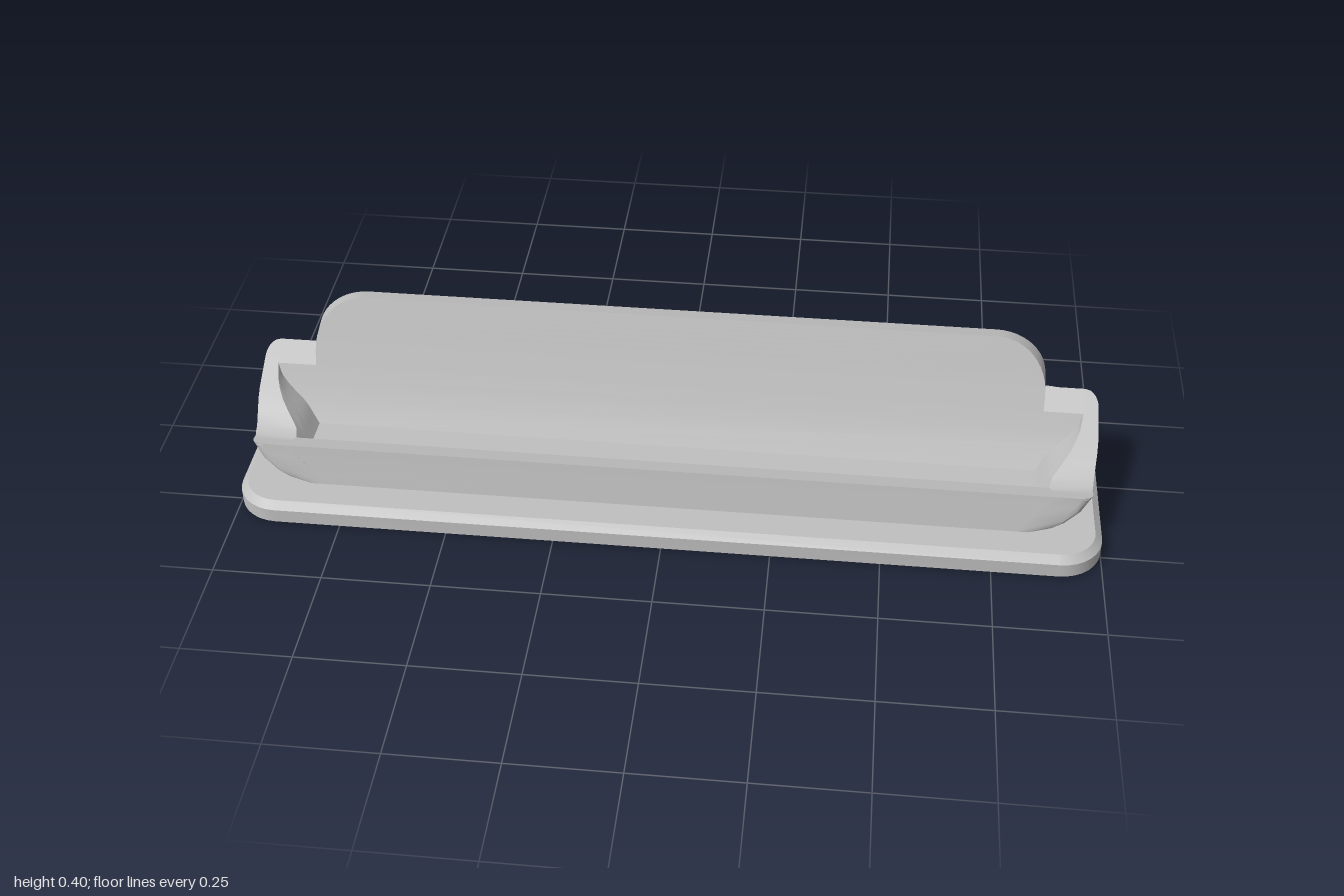
import * as THREE from 'three';
import { toCreasedNormals } from 'three/addons/utils/BufferGeometryUtils.js';

// Linear lookup in a list of [input, output] pairs, clamped at both ends
function lookup(table, v) {
  if (v <= table[0][0]) return table[0][1];
  for (let i = 1; i < table.length; i++) {
    const [a, p] = table[i - 1], [b, q] = table[i];
    if (v <= b) return p + (q - p) * (v - a) / (b - a);
  }
  return table[table.length - 1][1];
}

// Skin a list of closed rings of [x, y, z]; faces are turned outwards
function loft(rings, capped = true) {
  const n = rings[0].length, p = rings.flat(), tris = [];
  for (let r = 0; r < rings.length - 1; r++) {
    for (let i = 0; i < n; i++) {
      const a = r * n + i, b = r * n + (i + 1) % n;
      tris.push([a, b, b + n], [a, b + n, a + n]);
    }
  }
  if (capped) {
    const last = (rings.length - 1) * n;
    for (let i = 1; i < n - 1; i++) {
      tris.push([0, i + 1, i], [last, last + i, last + i + 1]);
    }
  }
  let volume = 0;
  const v = p.map((q) => new THREE.Vector3(...q));
  for (const [a, b, c] of tris) volume += v[a].dot(v[b].clone().cross(v[c]));
  if (volume < 0) tris.forEach((t) => t.reverse());
  const geo = new THREE.BufferGeometry();
  geo.setAttribute('position', new THREE.Float32BufferAttribute(tris.flat().flatMap((i) => p[i]), 3));
  return toCreasedNormals(geo, 0.5);
}

// Profiles of the cradle: [y, z] of back and front of the rest, [z, y] of the rim
const BACK = [[0.057, 0.06], [0.097, 0.052], [0.13, 0.033], [0.155, 0.02], [0.2, -0.001],
  [0.267, -0.03], [0.33, -0.054], [0.388, -0.075]];
const FRONT = [[0.11, 0.087], [0.16, 0.058], [0.2, 0.04], [0.236, 0.025], [0.3, 0],
  [0.35, -0.018], [0.397, -0.035]];
const RIM = [[-0.03, 0.267], [0.025, 0.236], [0.105, 0.19], [0.16, 0.152], [0.19, 0.144],
  [0.228, 0.152], [0.245, 0.057]];
const BOTTOM = BACK.slice(0, 6).map(([y, z]) => [z, y]).reverse();
// Half widths by height, outside and inside
const OUTER = [[0.057, 0.86], [0.068, 0.895], [0.08, 0.917], [0.11, 0.949], [0.15, 0.971],
  [0.2, 0.98], [0.27, 0.98]];
const INNER = [[0.057, 0.8], [0.11, 0.845], [0.15, 0.875], [0.185, 0.915], [0.21, 0.937],
  [0.24, 0.947], [0.27, 0.947]];

// Outer half width with rounded front and back edges
function outerWidth(y, z) {
  const r = 0.03;
  const toFront = 0.245 - (y - 0.057) * 0.18 - z;
  const d = THREE.MathUtils.clamp(Math.min(toFront, z - lookup(BACK, y)), 0, r);
  return lookup(OUTER, y) - r + Math.sqrt(r * r - (r - d) ** 2);
}

function baseGeometry() {
  const levels = [[0, 0.008], [0.006, 0], [0.04, 0], [0.057, 0.017]];
  return loft(levels.map(([y, inset]) => {
    const ring = [];
    for (let c = 0; c < 4; c++) {
      const sx = c === 0 || c === 3 ? 1 : -1, sz = c < 2 ? 1 : -1;
      for (let i = 0; i <= 8; i++) {
        const a = (c + i / 8) * Math.PI / 2;
        ring.push([sx * 0.9 + Math.cos(a) * (0.1 - inset), y, sz * 0.23 + Math.sin(a) * (0.1 - inset)]);
      }
    }
    return ring;
  }));
}

// Front lip, floor and lower rest in one trough, ends hidden in the end walls
function troughGeometry() {
  const profile = [[0.245, 0.057], [0.241, 0.08], [0.235, 0.11], [0.228, 0.152], [0.187, 0.144], [0.187, 0.11],
    ...FRONT.slice(0, 4).map(([y, z]) => [z, y]),
    ...BACK.slice(0, 6).map(([y, z]) => [z, y]).reverse()];
  return loft([-1, 1].map((s) => profile.map(([z, y]) => [s * (lookup(INNER, y) + 0.003), y, z])), false);
}

// Bowl-shaped end wall, sliced from back to front
function endWallGeometry(side) {
  const slices = [-0.03, -0.027, -0.022, -0.015, -0.007, 0, 0.01, 0.025, 0.04, 0.052, 0.06, 0.08, 0.105,
    0.13, 0.16, 0.175, 0.19, 0.205, 0.215, 0.222, 0.228, 0.232, 0.238, 0.245];
  const steps = 16;
  return loft(slices.map((z) => {
    const low = lookup(BOTTOM, z), high = lookup(RIM, z);
    const outside = [], inside = [];
    for (let i = 0; i <= steps; i++) {
      const y = low + (high - low) * i / steps, w = outerWidth(y, z);
      outside.push([side * w, y, z]);
      inside.unshift([side * Math.min(lookup(INNER, y), w), y, z]);
    }
    return [...outside, ...inside];
  }));
}

// Curved upper rest with rounded top corners
function restGeometry() {
  const rows = [[0, 0.855], [0.1, 0.855]];
  for (let i = 0; i <= 12; i++) {
    const a = i / 12 * Math.PI / 2;
    rows.push([0.22 + 0.78 * Math.sin(a), 0.735 + 0.12 * Math.cos(a)]);
  }
  return loft(rows.map(([u, w]) => {
    const yf = 0.236 + 0.161 * u, yb = 0.267 + 0.121 * u;
    const zf = lookup(FRONT, yf), zb = lookup(BACK, yb);
    return [[-w, yf, zf], [w, yf, zf], [w, yb, zb], [-w, yb, zb]];
  }));
}

export function createModel() {
  const group = new THREE.Group();
  group.name = 'cardHolder';
  const grey = new THREE.MeshStandardMaterial({ color: 0xc0c0c0 });
  grey.name = 'light grey';
  const add = (name, geometry) => {
    const mesh = new THREE.Mesh(geometry, grey);
    mesh.name = name;
    group.add(mesh);
  };
  add('base', baseGeometry());
  add('trough', troughGeometry());
  add('leftEndWall', endWallGeometry(1));
  add('rightEndWall', endWallGeometry(-1));
  add('backRest', restGeometry());
  return group;
}
